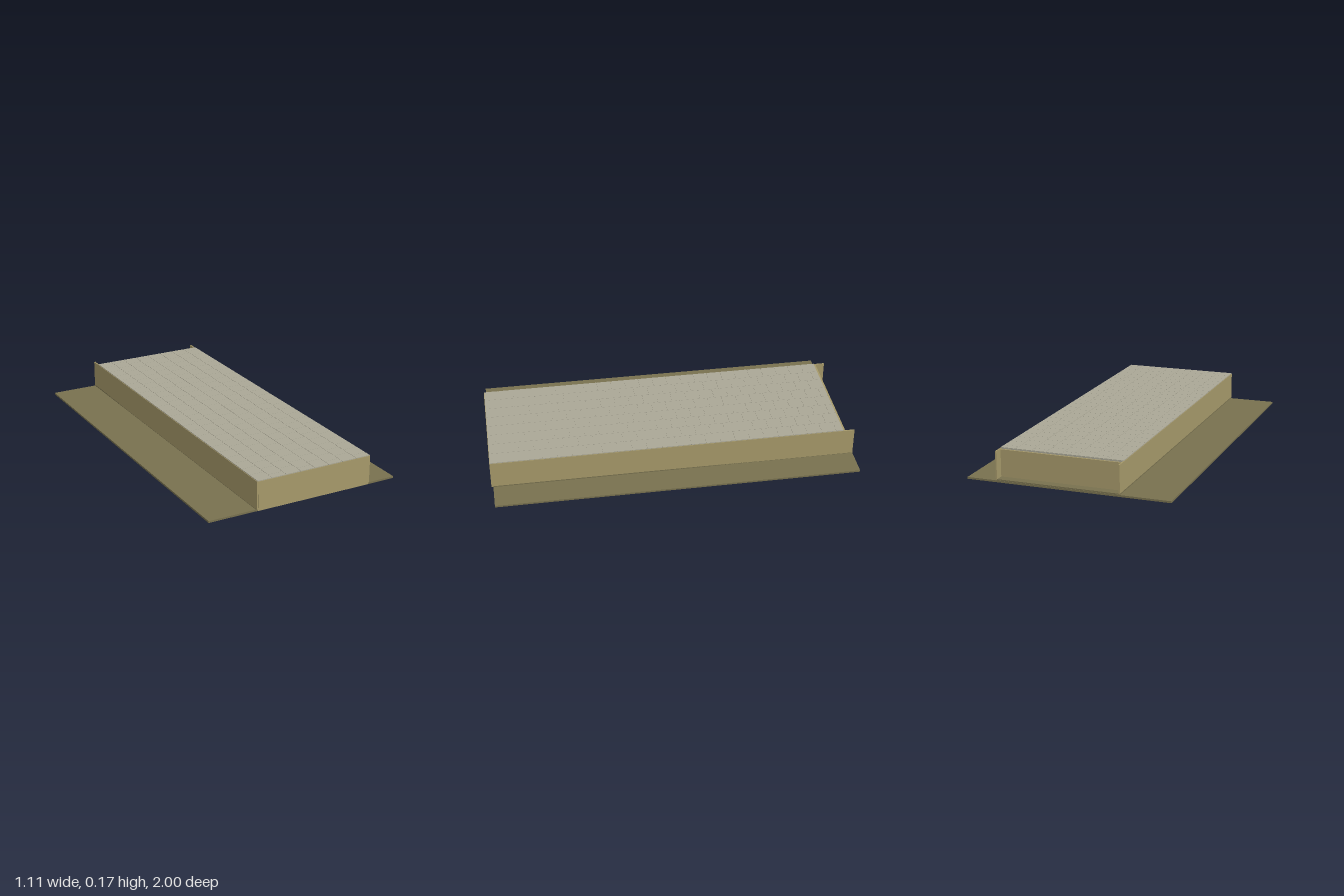
import * as THREE from 'three';

export function createModel() {
  const model = new THREE.Group();
  const material = (name, color) => {
    const m = new THREE.MeshStandardMaterial({ color });
    m.name = name;
    return m;
  };
  const ground = material('dark olive ground', 0x78714f);
  const wall = material('khaki wall', 0xa6996a);
  const paving = material('grey paving', 0xaaa796);

  // Box given by its lowest and highest corners
  const box = (name, mat, [x0, y0, z0], [x1, y1, z1], parent = model) => {
    const mesh = new THREE.Mesh(new THREE.BoxGeometry(x1 - x0, y1 - y0, z1 - z0), mat);
    mesh.position.set((x0 + x1) / 2, (y0 + y1) / 2, (z0 + z1) / 2);
    mesh.name = name;
    parent.add(mesh);
  };

  const left = -0.284, right = 0.392, t = 0.007;

  // Ground plate and the thin footing under the platform
  box('groundPlate', ground, [-0.553, 0, -1], [0.553, 0.01, 0.99]);
  box('footing', ground, [left, 0.01, -0.998], [right, 0.016, 0.99]);

  // Retaining walls; the side walls run on past the recessed back wall
  box('frontWall', wall, [left + t, 0.005, 0.99], [right - t, 0.166, 1]);
  box('rightWall', wall, [left, 0.012, -1], [left + t, 0.166, 0.998]);
  box('leftWall', wall, [right - t, 0.012, -1], [right, 0.166, 0.998]);
  box('backWall', wall, [left + t, 0.016, -0.95], [right - t, 0.162, -0.94]);

  // Paving bed, with staggered slabs separated by fine joints
  const x0 = left + 0.002, x1 = right - 0.002, z0 = -0.938, z1 = 0.998;
  box('pavingBed', paving, [x0 + t, 0.15, z0], [x1 - t, 0.168, 0.99]);
  const tiles = new THREE.Group();
  tiles.name = 'pavingSlabs';
  model.add(tiles);
  const columns = 8, rows = 24, joint = 0.0008;
  const w = (x1 - x0) / columns, d = (z1 - z0) / rows;
  for (let c = 0; c < columns; c++) {
    const shift = (c % 2) * d / 2;
    for (let r = 0; r <= rows; r++) {
      const a = Math.max(z0, z0 + r * d - shift);
      const b = Math.min(z1, z0 + (r + 1) * d - shift);
      if (b - a < 0.01) continue;
      box('pavingSlab', paving,
        [x0 + c * w + joint, 0.166, a + joint], [x0 + (c + 1) * w - joint, 0.17, b - joint], tiles);
    }
  }
  return model;
}
